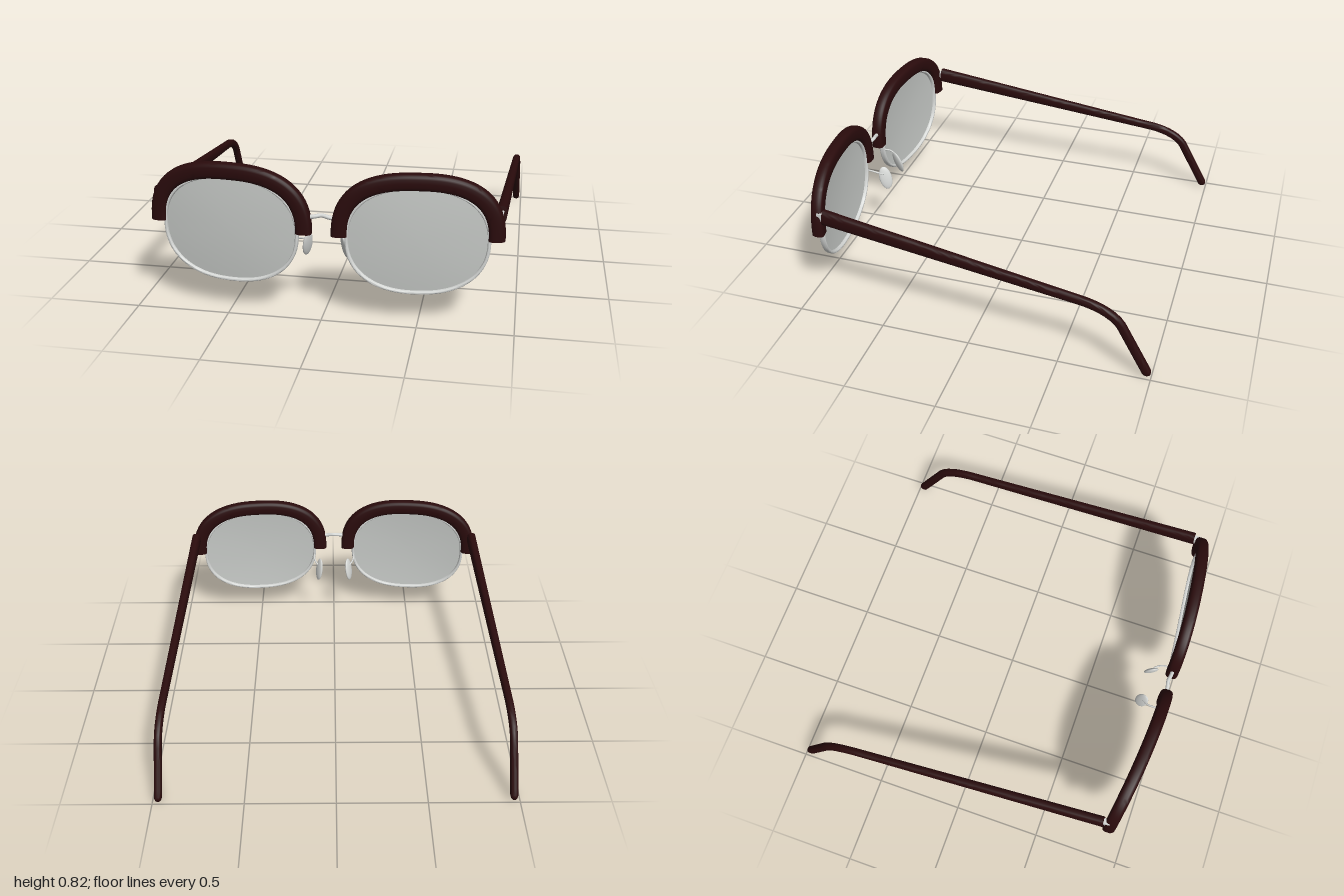
import * as THREE from 'three';
import { toCreasedNormals } from 'three/addons/utils/BufferGeometryUtils.js';

const V = (x, y, z) => new THREE.Vector3(x, y, z);
const mat = (name, color, extra = {}) =>
  Object.assign(new THREE.MeshStandardMaterial({ color, ...extra }), { name });

// Point on a superellipse with half sizes a, b and squareness n
function superPoint(t, a, b, n) {
  const c = Math.cos(t), s = Math.sin(t);
  return [
    a * Math.sign(c) * Math.abs(c) ** (2 / n),
    b * Math.sign(s) * Math.abs(s) ** (2 / n),
  ];
}

// Wrap curve of the whole front
const faceZ = (x) => 0.962 - 0.093 * x * x;

// Skin through rings of points; either a closed loop or capped at both ends
function loft(rings, closed = false) {
  const n = rings[0].length, m = rings.length, pts = rings.flat(), idx = [];
  for (let i = 0; i < (closed ? m : m - 1); i++) {
    for (let j = 0; j < n; j++) {
      const k = (j + 1) % n, r = i * n, q = ((i + 1) % m) * n;
      idx.push(r + j, r + k, q + j, r + k, q + k, q + j);
    }
  }
  if (!closed) {
    for (const [base, flip] of [[0, true], [(m - 1) * n, false]]) {
      const mid = V(0, 0, 0);
      for (let j = 0; j < n; j++) mid.addScaledVector(pts[base + j], 1 / n);
      pts.push(mid);
      const c = pts.length - 1;
      for (let j = 0; j < n; j++) {
        const p = base + j, q = base + ((j + 1) % n);
        idx.push(c, flip ? q : p, flip ? p : q);
      }
    }
  }
  // Turn the faces outward
  let volume = 0;
  for (let i = 0; i < idx.length; i += 3) {
    const [a, b, c] = [pts[idx[i]], pts[idx[i + 1]], pts[idx[i + 2]]];
    volume += a.dot(b.clone().cross(c));
  }
  if (volume < 0) idx.reverse();
  const geo = new THREE.BufferGeometry().setFromPoints(pts);
  geo.setIndex(idx);
  return toCreasedNormals(geo, 0.8);
}

// Band between an inner and an outer superellipse, following the front's curve
function band(s, inner, outer, cy, depth, t0, t1, steps, closed, sharp) {
  const rings = [];
  for (let i = 0; i < (closed ? steps : steps + 1); i++) {
    const t = t0 + ((t1 - t0) * i) / steps;
    const p = superPoint(t, ...inner), q = superPoint(t, ...outer);
    const ring = [];
    for (let j = 0; j < 20; j++) {
      const [u, w] = superPoint((j / 20) * Math.PI * 2, 0.5, depth / 2, sharp);
      const x = 0.49 + p[0] + (q[0] - p[0]) * (u + 0.5);
      const y = cy + p[1] + (q[1] - p[1]) * (u + 0.5);
      ring.push(V(s * x, y, faceZ(x) + w));
    }
    rings.push(ring);
  }
  return loft(rings, closed);
}

// Slightly domed lens sheet
function lensGeometry(s) {
  const R = 8, N = 64, pts = [], idx = [];
  for (let i = 0; i <= R; i++) {
    for (let j = 0; j < N; j++) {
      const [x, y] = superPoint((j / N) * Math.PI * 2, 0.36, 0.285, 2.3);
      const f = i / R, px = 0.49 + x * f;
      pts.push(V(s * px, 0.47 + y * f, faceZ(px) + 0.012 * (1 - f * f)));
      if (i === R) continue;
      const k = (j + 1) % N, a = i * N + j, b = i * N + k, c = a + N, d = b + N;
      if (i > 0) idx.push(...(s > 0 ? [a, d, b] : [a, b, d]));
      idx.push(...(s > 0 ? [a, c, d] : [a, d, c]));
    }
  }
  const geo = new THREE.BufferGeometry().setFromPoints(pts);
  geo.setIndex(idx);
  geo.computeVertexNormals();
  // All centre points share one direction
  for (let j = 0; j < N; j++) geo.attributes.normal.setXYZ(j, s * 0.09, 0, 0.996);
  return geo;
}

// Tapered temple arm with a bent ear piece and a rounded tip
function templeGeometry(s) {
  const path = new THREE.CurvePath();
  path.add(new THREE.LineCurve3(V(0, 0.605, 0.845), V(0, 0.41, -0.62)));
  path.add(new THREE.QuadraticBezierCurve3(V(0, 0.41, -0.62), V(0, 0.385, -0.76), V(0, 0.31, -0.82)));
  path.add(new THREE.LineCurve3(V(0, 0.31, -0.82), V(0, 0.012, -0.985)));
  const rings = [], us = [];
  for (let i = 0; i <= 60; i++) us.push((i / 60) * 0.985);
  us.push(0.99, 0.995, 0.998, 1);
  for (const u of us) {
    const p = path.getPointAt(u), t = path.getTangentAt(u);
    const taper = Math.min(1, u / 0.7);
    const e = Math.max(0, (u - 0.985) / 0.015);
    const round = Math.sqrt(Math.max(0.03, 1 - e * e));
    const h = (0.045 - 0.02 * taper) * round, w = (0.027 - 0.006 * taper) * round;
    const x = 0.903 + (0.845 - p.z) * 0.036;
    rings.push(Array.from({ length: 20 }, (_, j) => {
      const [a, b] = superPoint((j / 20) * Math.PI * 2, w, h, 2.8);
      return V(s * (x + a), p.y - t.z * b, p.z + t.y * b);
    }));
  }
  return loft(rings);
}

export function createModel() {
  const model = new THREE.Group();
  model.name = 'eyeglasses';
  const frame = mat('dark brown plastic', 0x2a0b0c);
  const metal = mat('silver metal', 0xd4d6d4);
  const glass = mat('pale grey lens', 0xc6c9c6, { side: THREE.DoubleSide });

  const add = (name, geo, material) => {
    const mesh = new THREE.Mesh(geo, material);
    mesh.name = name;
    model.add(mesh);
    return mesh;
  };
  const tube = (points, r) =>
    new THREE.TubeGeometry(new THREE.CatmullRomCurve3(points), 20, r, 10);

  for (const [s, side] of [[1, 'left'], [-1, 'right']]) {
    // Front: brow bar, rim and lens
    add(side + 'Brow', band(s, [0.355, 0.262, 2.6], [0.44, 0.35, 2.5], 0.482, 0.072, 0, Math.PI, 64, false, 3.2), frame);
    add(side + 'Rim', band(s, [0.352, 0.277, 2.3], [0.37, 0.295, 2.3], 0.47, 0.036, 0, Math.PI * 2, 96, true, 3), metal);
    add(side + 'Lens', lensGeometry(s), glass);

    // Temple and hinge
    add(side + 'Temple', templeGeometry(s), frame);
    const hinge = add(side + 'Hinge', new THREE.BoxGeometry(0.03, 0.05, 0.05), metal);
    hinge.position.set(s * 0.9, 0.6, 0.855);

    // Nose pad on a thin bent wire
    const pad = add(side + 'NosePad', new THREE.SphereGeometry(1, 24, 16), metal);
    pad.scale.set(0.013, 0.073, 0.038);
    pad.position.set(s * 0.098, 0.373, 0.845);
    pad.rotation.set(0.2, s * 0.5, s * 0.13);
    add(side + 'PadArm', tube([
      V(s * 0.13, 0.43, 0.95), V(s * 0.132, 0.428, 0.91),
      V(s * 0.122, 0.415, 0.875), V(s * 0.102, 0.4, 0.85),
    ], 0.005), metal);
  }

  // Bridge
  add('bridge', tube([V(-0.08, 0.568, 0.957), V(-0.04, 0.574, 0.957), V(0, 0.58, 0.95), V(0.04, 0.574, 0.957), V(0.08, 0.568, 0.957)], 0.011), metal);
  return model;
}
